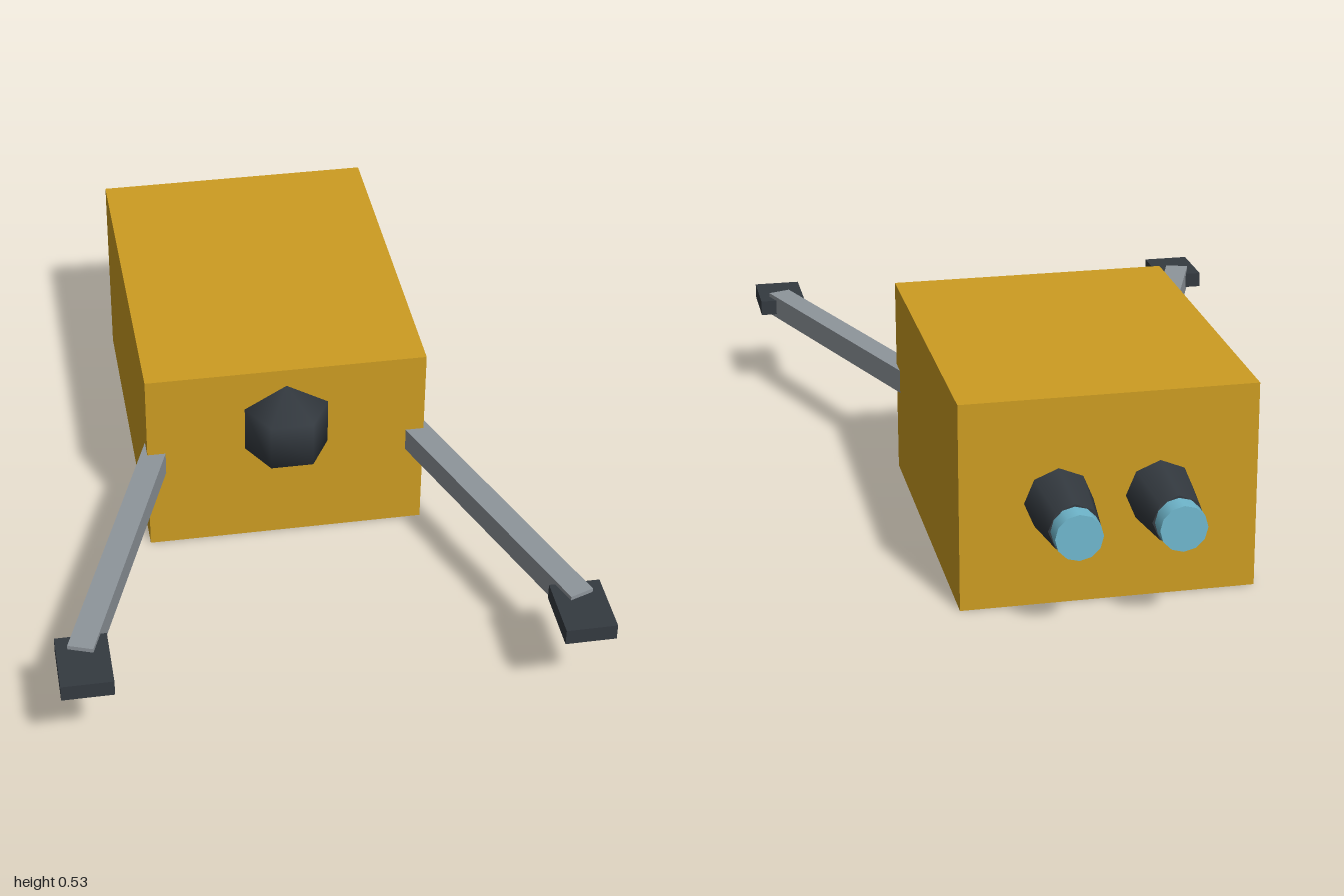
import * as THREE from 'three';

const material = (name, color) => {
  const m = new THREE.MeshStandardMaterial({ color });
  m.name = name;
  return m;
};

export function createModel() {
  const model = new THREE.Group();
  model.name = 'utilityPod';
  const yellow = material('hullYellow', 0xcc9c22);
  const dark = material('darkMetal', 0x343a40);
  const grey = material('armGrey', 0x8e959b);
  const cyan = material('engineGlow', 0x70b8ce);

  const add = (name, geometry, mat, x, y, z) => {
    const mesh = new THREE.Mesh(geometry, mat);
    mesh.name = name;
    mesh.position.set(x, y, z);
    model.add(mesh);
    return mesh;
  };

  // Hull and faceted viewport
  add('hull', new THREE.BoxGeometry(0.736, 0.53, 0.953), yellow, 0, 0.265, -0.3);
  add('viewport', new THREE.SphereGeometry(0.128, 6, 3), dark, 0, 0.353, 0.175);

  // Mirrored arms, grippers and rear thrusters
  const angle = 0.35, armLength = 0.85;
  for (const [side, s] of [['left', 1], ['right', -1]]) {
    const arm = add(side + 'Arm', new THREE.BoxGeometry(0.064, 0.064, armLength), grey,
      s * (0.612 - Math.sin(angle) * armLength / 2), 0.266,
      0.883 - Math.cos(angle) * armLength / 2);
    arm.rotation.y = s * angle;
    add(side + 'Gripper', new THREE.BoxGeometry(0.127, 0.042, 0.17), dark, s * 0.607, 0.266, 0.915);

    const nozzle = new THREE.CylinderGeometry(0.085, 0.064, 0.175, 8).rotateX(Math.PI / 2);
    add(side + 'Nozzle', nozzle, dark, s * 0.125, 0.266, -0.8625);
    const glow = new THREE.CylinderGeometry(0.058, 0.058, 0.06, 12).rotateX(Math.PI / 2);
    add(side + 'EngineGlow', glow, cyan, s * 0.125, 0.266, -0.97);
  }
  return model;
}
